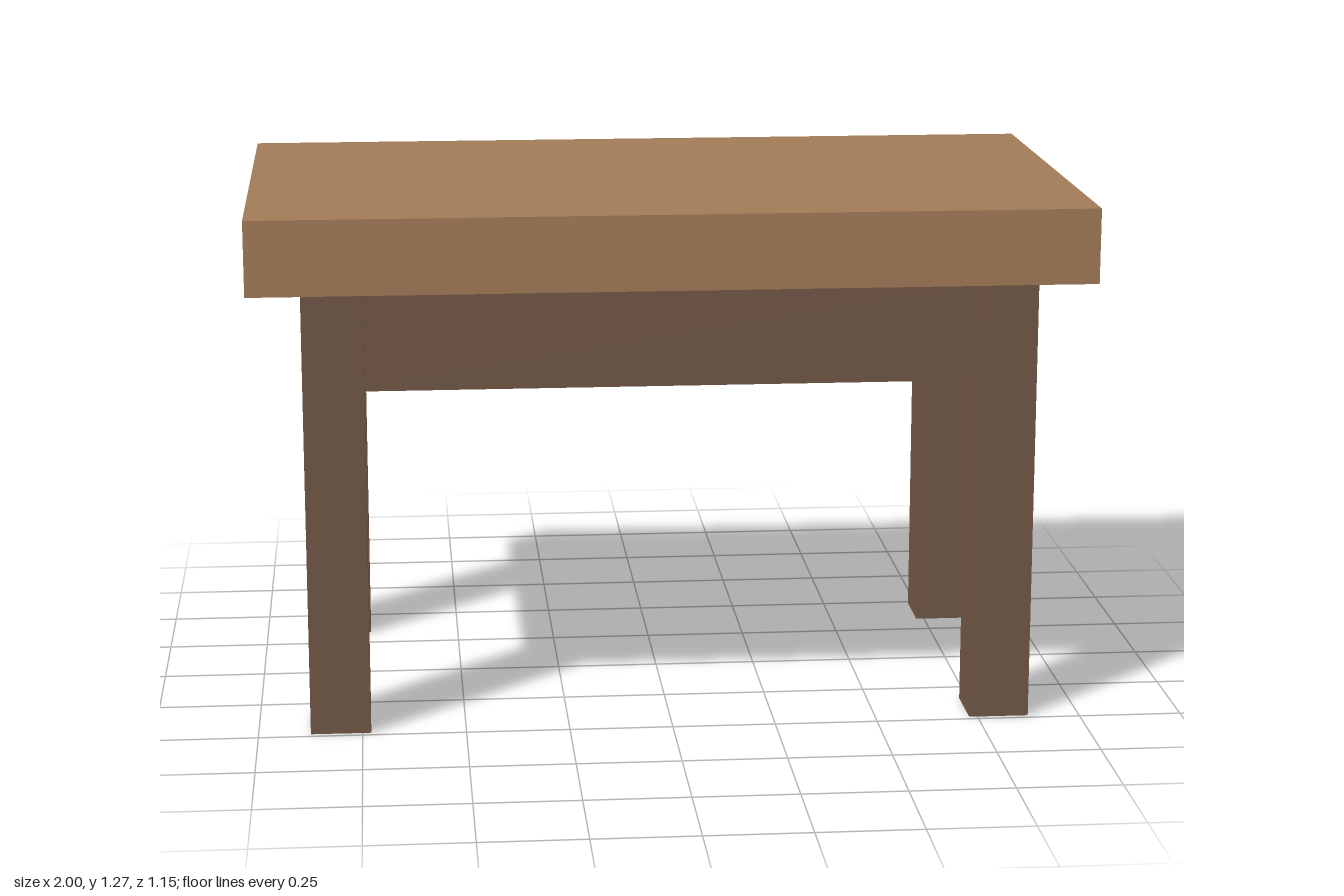
import * as THREE from 'three';

export function createModel() {
  const model = new THREE.Group();
  model.name = 'table';
  const topWood = new THREE.MeshStandardMaterial({ color: 0xa47c58 });
  const darkWood = new THREE.MeshStandardMaterial({ color: 0x735848 });

  // Box given its size, centre in plan and height of its underside
  function addBox(name, material, [w, h, d], x, bottom, z) {
    const mesh = new THREE.Mesh(new THREE.BoxGeometry(w, h, d), material);
    mesh.name = name;
    mesh.position.set(x, bottom + h / 2, z);
    model.add(mesh);
  }

  // Thick slab top
  addBox('tabletop', topWood, [2, 0.18, 1.15], 0, 1.093, 0);

  for (const [end, sz] of [['front', 1], ['back', -1]]) {
    // Long rail running through the legs, holding the top just clear of them
    addBox(end + 'Rail', darkWood, [1.72, 0.255, 0.08], 0, 0.838, sz * 0.412);

    // Square legs
    for (const [side, sx] of [['Left', 1], ['Right', -1]]) {
      addBox(end + side + 'Leg', darkWood, [0.145, 1.083, 0.145], sx * 0.802, 0, sz * 0.412);
    }
  }
  return model;
}
